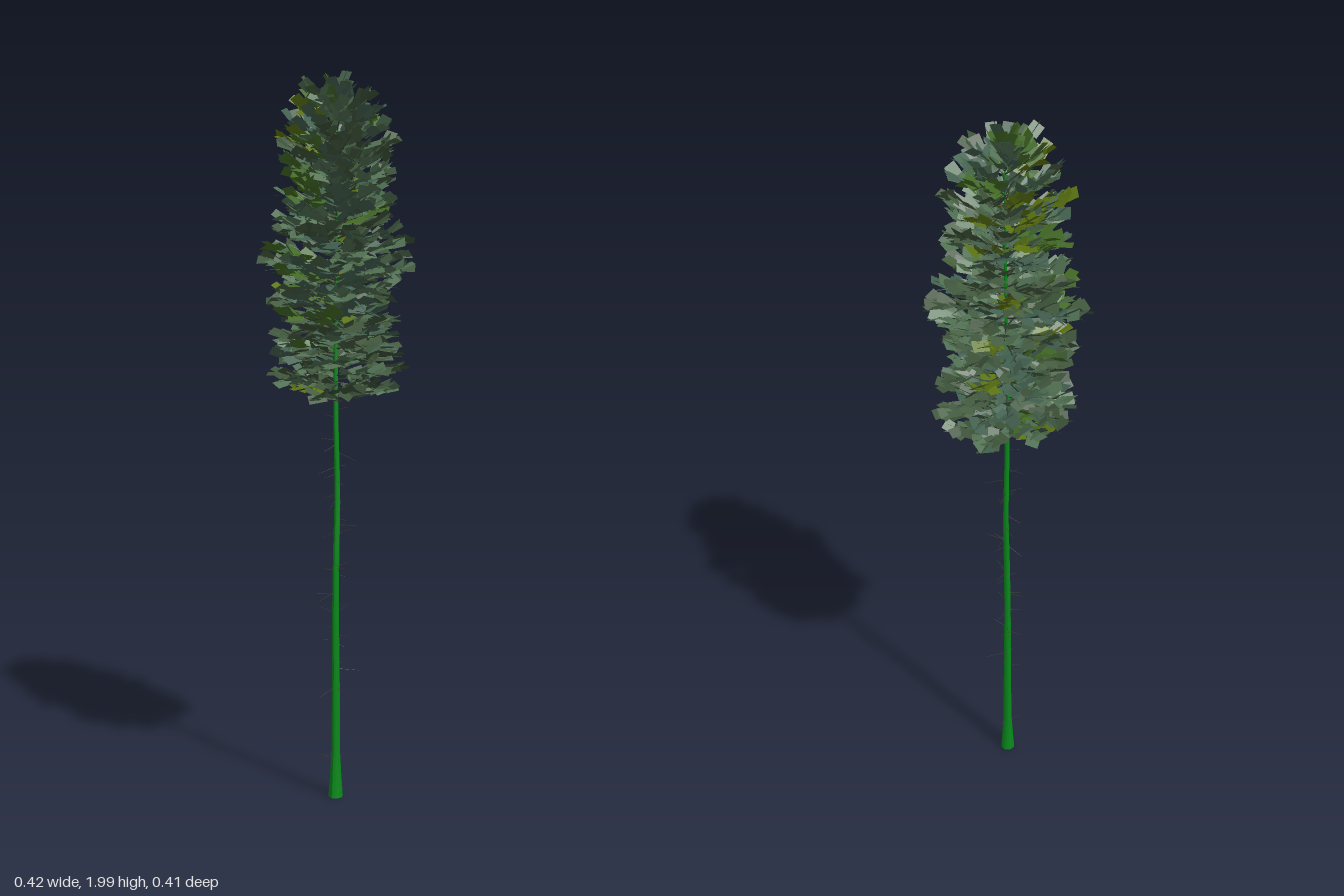
import * as THREE from 'three';
import { mergeGeometries } from 'three/addons/utils/BufferGeometryUtils.js';

// Seeded random numbers
let seed = 7;
const rnd = () => {
  seed = (seed * 1664525 + 1013904223) % 4294967296;
  return seed / 4294967296;
};
const range = (a, b) => a + (b - a) * rnd();

// Linear lookup in [y, value] pairs
function lookup(table, y) {
  for (let i = 1; i < table.length; i++) {
    const [y0, v0] = table[i - 1], [y1, v1] = table[i];
    if (y <= y1) return v0 + (v1 - v0) * Math.max(0, (y - y0) / (y1 - y0));
  }
  return table[table.length - 1][1];
}

const trunkRadius = [[0, 0.021], [0.06, 0.0165], [0.12, 0.013], [0.4, 0.0105], [0.8, 0.0085], [1.15, 0.0065], [1.6, 0.004], [1.93, 0.0015]];

// Crown outline on each side, blended around the trunk
const outline = {
  left: [[1.13, 0.15], [1.2, 0.19], [1.3, 0.175], [1.4, 0.16], [1.5, 0.225], [1.56, 0.19], [1.63, 0.165], [1.8, 0.165], [1.9, 0.13], [1.97, 0.08]],
  right: [[1.13, 0.13], [1.22, 0.205], [1.35, 0.175], [1.47, 0.225], [1.52, 0.22], [1.6, 0.18], [1.75, 0.15], [1.83, 0.185], [1.9, 0.145], [1.97, 0.09]],
  front: [[1.13, 0.145], [1.2, 0.18], [1.25, 0.17], [1.35, 0.205], [1.42, 0.17], [1.52, 0.22], [1.6, 0.175], [1.75, 0.16], [1.85, 0.13], [1.97, 0.1]],
  back: [[1.13, 0.15], [1.2, 0.18], [1.3, 0.19], [1.4, 0.175], [1.5, 0.205], [1.56, 0.222], [1.65, 0.175], [1.8, 0.16], [1.9, 0.115], [1.97, 0.075]],
};
function crownRadius(y, az) {
  const s = Math.sin(az), c = Math.cos(az);
  return s * s * lookup(s > 0 ? outline.left : outline.right, y) +
    c * c * lookup(c > 0 ? outline.front : outline.back, y);
}

// Gently wandering trunk axis
const axis = new THREE.CatmullRomCurve3([
  [-0.012, 0, -0.008], [-0.011, 0.3, -0.008], [-0.01, 0.55, -0.005], [-0.007, 0.7, -0.003], [-0.007, 0.85, -0.009],
  [-0.008, 1.1, -0.003], [-0.004, 1.4, 0.002], [0, 1.7, 0.004], [0.005, 1.93, 0.012],
].map(p => new THREE.Vector3(...p)));
const axisPoints = axis.getPoints(200);
const axisAt = y => axisPoints.reduce((a, b) => Math.abs(b.y - y) < Math.abs(a.y - y) ? b : a).clone();

// Tapered stick between two points
function stick(a, b, r0, r1) {
  const dir = b.clone().sub(a), len = dir.length();
  const g = new THREE.CylinderGeometry(r1, r0, len, 3, 1);
  g.translate(0, len / 2, 0);
  g.applyQuaternion(new THREE.Quaternion().setFromUnitVectors(new THREE.Vector3(0, 1, 0), dir.normalize()));
  return g.translate(a.x, a.y, a.z);
}

// Flat needle card growing from a point along an azimuth and pitch
function card(p, azimuth, pitch, roll, width, length) {
  const g = new THREE.PlaneGeometry(width, length);
  g.rotateX(-Math.PI / 2);
  g.translate(0, 0, length / 2);
  g.rotateZ(roll);
  g.rotateX(-pitch);
  g.rotateY(azimuth);
  return g.translate(p.x, p.y, p.z);
}

const heading = (az, pitch) =>
  new THREE.Vector3(Math.sin(az) * Math.cos(pitch), Math.sin(pitch), Math.cos(az) * Math.cos(pitch));

export function createModel() {
  seed = 7;
  const tree = new THREE.Group();
  tree.name = 'pineTree';
  const add = (name, geometry, color, parent = tree, side = THREE.FrontSide) => {
    const mesh = new THREE.Mesh(geometry, new THREE.MeshStandardMaterial({ color, side }));
    mesh.name = name;
    parent.add(mesh);
  };

  // Trunk: straight cylinder bent along the axis and tapered
  const trunk = new THREE.CylinderGeometry(1, 1, 1.93, 8, 32).translate(0, 0.965, 0);
  const pos = trunk.attributes.position;
  for (let i = 0; i < pos.count; i++) {
    const y = pos.getY(i), c = axisAt(y), r = lookup(trunkRadius, y);
    pos.setXYZ(i, c.x + pos.getX(i) * r, y, c.z + pos.getZ(i) * r);
  }
  trunk.computeVertexNormals();
  add('trunk', trunk, 0x088a1a);

  // Dead twigs on the bare trunk
  const twigs = [];
  for (let i = 0; i < 46; i++) {
    const y = i < 3 ? range(0.1, 0.3) : range(0.3, 1.12);
    const a = axisAt(y), az = i * 2.4 + range(-0.4, 0.4);
    const b = a.clone().addScaledVector(heading(az, range(-0.5, 0.3)), range(0.025, 0.065));
    twigs.push(stick(a, b, 0.0009, 0.0004));
  }
  add('deadTwigs', mergeGeometries(twigs), 0x4a4a3c);

  // Crown: spiralling boughs carrying needle cards turned at loose angles
  const tints = [0x445c40, 0x3c5238, 0x507052, 0x42604f, 0x5c7412, 0x426a24];
  const cards = tints.map(() => []);
  const boughs = [];
  const count = 150;
  for (let i = 0; i < count; i++) {
    const t = i / (count - 1);
    const tipY = 1.15 + 0.8 * t + range(-0.012, 0.012);
    const az = i * 2.39996 + range(-0.2, 0.2);
    const reach = crownRadius(tipY, az) * range(0.88, 1) - 0.02;
    const rise = reach * (0.1 + 0.35 * t + 0.4 * t ** 4);
    const start = axisAt(tipY - rise);
    const tip = new THREE.Vector3(Math.sin(az) * reach, tipY, Math.cos(az) * reach);
    boughs.push(stick(start, tip, 0.0025, 0.0008));
    const pitch = Math.atan2(rise, reach);
    const warm = t > 0.65 && Math.sin(az) < 0.2 ? 0.5 : 0.08;
    const tint = rnd() < warm ? 4 + Math.floor(rnd() * 2) : Math.floor(rnd() * 4);
    const n = Math.max(8, Math.round(reach / 0.011));
    for (let k = 0; k < n; k++) {
      const f = 0.2 + 0.76 * (k / (n - 1)) ** 0.8;
      const p = start.clone().lerp(tip, f);
      const end = k === n - 1;
      const yaw = end ? range(-0.25, 0.25) : (k % 2 ? 1 : -1) * range(0.3, 1.05);
      const shade = rnd() < 0.75 ? tint : Math.floor(rnd() * 4);
      cards[shade].push(card(p, az + yaw, pitch + range(-0.35, 0.4), range(-0.8, 0.8),
        range(0.028, 0.036), end ? 0.034 : range(0.036, 0.05)));
    }
  }

  // Upright tuft around the leader
  for (let i = 0; i < 36; i++) {
    const p = axisAt(range(1.87, 1.93));
    cards[i % 3 ? 5 : 3].push(card(p, i * 2.4, range(0.5, 1.25), range(-0.5, 0.5), 0.03, range(0.05, 0.074)));
  }
  add('boughs', mergeGeometries(boughs), 0x2f3a26);
  const crown = new THREE.Group();
  crown.name = 'needleCrown';
  tree.add(crown);
  cards.forEach((list, i) => add('needles' + (i + 1), mergeGeometries(list), tints[i], crown, THREE.DoubleSide));
  return tree;
}
